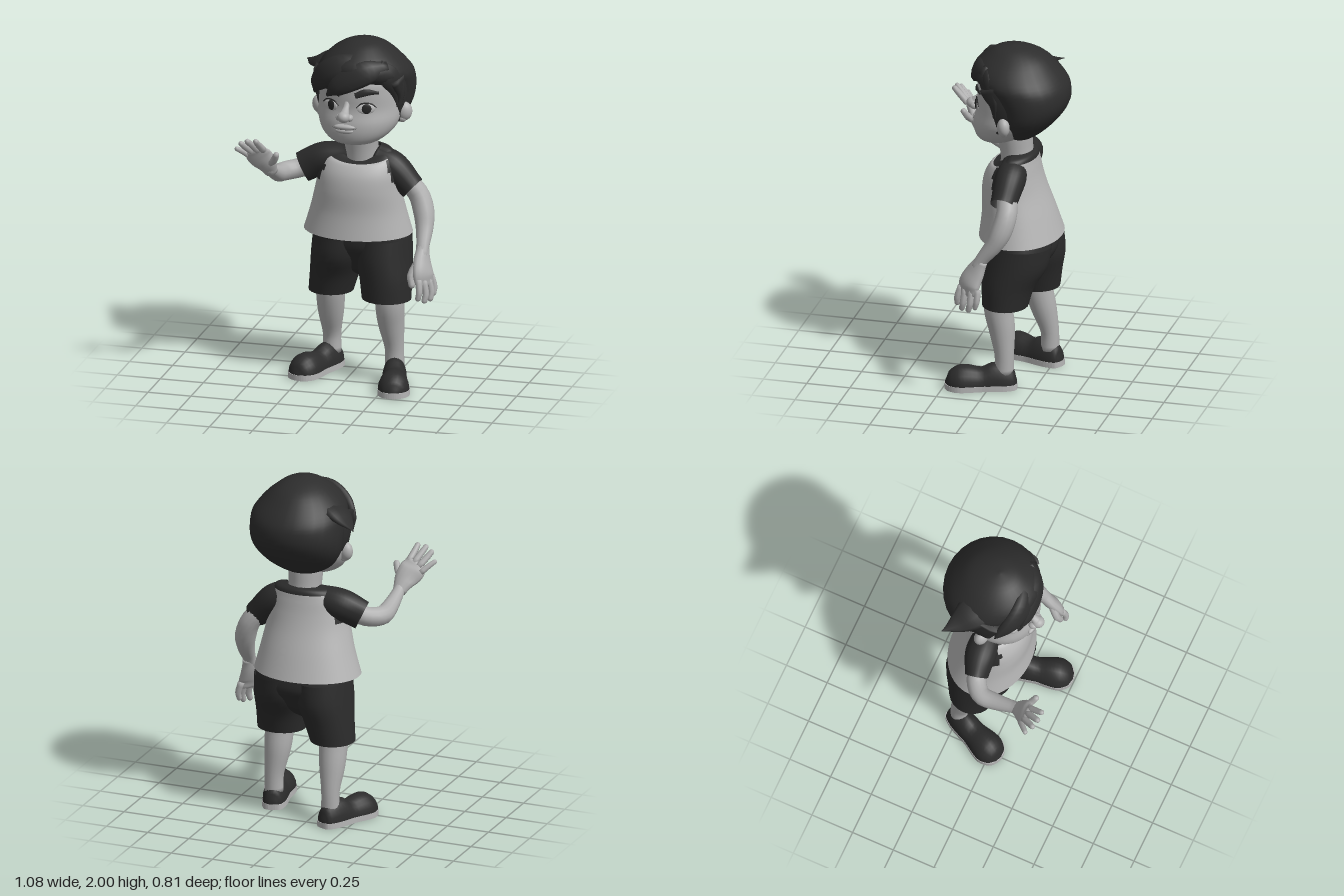
import * as THREE from 'three';

const mat = (name, color, side = THREE.FrontSide) => {
  const m = new THREE.MeshStandardMaterial({ color, side });
  m.name = name;
  return m;
};
const V = (x, y, z) => new THREE.Vector3(x, y, z);

// Catmull-Rom interpolation of a list of equal-length number rows
function blend(rows, u) {
  const s = u * (rows.length - 1), i = Math.min(Math.floor(s), rows.length - 2), f = s - i;
  const at = k => rows[Math.max(0, Math.min(rows.length - 1, k))];
  const [a, b, c, d] = [at(i - 1), at(i), at(i + 1), at(i + 2)];
  return b.map((p, k) => {
    const m0 = (c[k] - a[k]) / 2, m1 = (d[k] - p) / 2, q = c[k] - p;
    return p + f * (m0 + f * (3 * q - 2 * m0 - m1 + f * (m0 + m1 - 2 * q)));
  });
}

// Skins closed rings of points; pick(centre, v) chooses the second material
function skin(name, rows, material, { capA, capB, pick }) {
  const n = rows[0].length, pts = rows.flat(), lists = [[], []];
  for (let i = 0; i < rows.length - 1; i++) for (let j = 0; j < n; j++) {
    const a = i * n + j, b = i * n + (j + 1) % n, c = b + n, d = a + n;
    const mid = pts[a].clone().add(pts[c]).multiplyScalar(0.5);
    lists[pick && pick(mid, (i + 0.5) / (rows.length - 1)) ? 1 : 0].push(a, b, c, a, c, d);
  }
  const cap = (start, flip) => {
    const mid = V(0, 0, 0), k = pts.length;
    for (let j = 0; j < n; j++) {
      const a = start + j, b = start + (j + 1) % n;
      mid.addScaledVector(pts[a], 1 / n);
      lists[0].push(k, flip ? b : a, flip ? a : b);
    }
    pts.push(mid);
  };
  if (capA) cap(0, true);
  if (capB) cap((rows.length - 1) * n, false);
  const g = new THREE.BufferGeometry().setFromPoints(pts);
  g.setIndex(lists.flat());
  if (pick) {
    g.addGroup(0, lists[0].length, 0);
    g.addGroup(lists[0].length, lists[1].length, 1);
  }
  g.computeVertexNormals();
  const mesh = new THREE.Mesh(g, material);
  mesh.name = name;
  return mesh;
}

// Upright loft; rings are [y, cx, cz, rx, rz, front dip], from bottom to top
function loft(name, rings, material, opt = {}) {
  const { n = 32, steps = 28 } = opt, rows = [];
  for (let i = 0; i <= steps; i++) {
    const [y, cx, cz, rx, rz, dip = 0] = blend(rings, i / steps);
    rows.push(Array.from({ length: n }, (_, j) => {
      const a = j / n * Math.PI * 2, s = -Math.sin(a);
      return V(cx + rx * Math.cos(a), y - dip * Math.max(0, s), cz + rz * s);
    }));
  }
  return skin(name, rows, material, opt);
}

// Limb along points [x, y, z, thickness, width]; thickness follows the up vector
function limb(name, points, material, opt = {}) {
  const { up = V(0, 0, 1), n = 14, steps = 16, round = false } = opt;
  const curve = new THREE.CatmullRomCurve3(points.map(p => V(p[0], p[1], p[2])));
  const radii = points.map(p => [p[3], p[4] ?? p[3]]), rows = [];
  const ring = (c, t, r, w) => {
    const b = up.clone().cross(t).normalize(), m = t.clone().cross(b);
    rows.push(Array.from({ length: n }, (_, j) => {
      const a = j / n * Math.PI * 2;
      return c.clone().addScaledVector(b, w * Math.cos(a)).addScaledVector(m, r * Math.sin(a));
    }));
  };
  for (let i = 0; i <= steps; i++) {
    const [r, w] = blend(radii, i / steps).map(v => Math.max(v, 0.001));
    ring(curve.getPoint(i / steps), curve.getTangent(i / steps), r, w);
  }
  if (round) {
    const [r, w] = radii[radii.length - 1], t = curve.getTangent(1), e = curve.getPoint(1);
    for (const a of [0.5, 1, 1.4])
      ring(e.clone().addScaledVector(t, Math.min(r, w) * Math.sin(a)), t, r * Math.cos(a), w * Math.cos(a));
  }
  return skin(name, rows, material, { capA: true, capB: true, ...opt });
}

function ball(name, material, p, s, ry = 0) {
  const m = new THREE.Mesh(new THREE.SphereGeometry(1, 20, 14), material);
  m.name = name;
  m.position.set(...p);
  m.scale.set(...s);
  m.rotation.y = ry;
  return m;
}

export function createModel() {
  const skinM = mat('skin', 0xafafaf), shirtM = mat('shirt cloth', 0xb4b4b4, THREE.DoubleSide);
  const trimM = mat('dark cloth', 0x2b2b2b, THREE.DoubleSide), hairM = mat('hair', 0x2d2d2d);
  const shoeM = mat('shoe', 0x2c2c2c), soleM = mat('sole', 0xb6b6b6);
  const whiteM = mat('eye white', 0xbababa), irisM = mat('iris', 0x262626), lipM = mat('lip line', 0x6a6a6a);
  const root = new THREE.Group(), add = (...m) => root.add(...m);
  root.name = 'boy';
  // Head, neck and ears
  const head = [[1.41, .065, .01, .02, .02], [1.43, .06, .01, .12, .1], [1.48, .065, -.02, .192, .158], [1.55, .07, -.06, .233, .2],
    [1.63, .07, -.09, .24, .21], [1.72, .07, -.1, .235, .22], [1.8, .07, -.11, .22, .22], [1.9, .07, -.11, .15, .14]];
  add(loft('head', head, skinM, { capA: true, capB: true }));
  add(limb('neck', [[.07, 1.27, -.11, .095], [.07, 1.36, -.1, .093], [.07, 1.47, -.09, .1]], skinM, { n: 20 }));
  for (const [s, x] of [[-1, -.172], [1, .322]])
    add(ball('ear', skinM, [x, 1.588, -.09], [.044, .054, .036], s * .4),
      ball('earLobe', skinM, [x - s * .012, 1.55, -.085], [.028, .026, .026]));
  const faceZ = (x, y) => {
    const i = head.findIndex(r => r[0] > y), a = head[i - 1], b = head[i], f = (y - a[0]) / (b[0] - a[0]);
    const [, cx, cz, rx, rz] = a.map((v, k) => v + (b[k] - v) * f);
    return cz + rz * Math.sqrt(Math.max(0, 1 - ((x - cx) / rx) ** 2));
  };
  const onFace = (pts, lift) => pts.map(([x, y, r, w]) => [x, y, faceZ(x, y) + lift, r, w]);
  // Eyes, lids and brows
  for (const [s, x, ry] of [[-1, -.055, -.5], [1, .155, .36]]) {
    const z = faceZ(x, 1.648);
    add(ball('eyeWhite', whiteM, [x, 1.645, z], [.05, .029, .008], ry));
    add(ball('iris', irisM, [x + .004, 1.648, z + .006], [.027, .029, .007], ry));
    add(limb('upperLid', onFace([[x - .054, 1.652, .002], [x - .025, 1.677, .004], [x + .025, 1.677, .004],
      [x + .054, 1.652, .002]], .004), irisM, { n: 8 }));
    add(limb('brow', onFace([[x - s * .06, 1.722, .004, .016], [x, 1.742, .008, .02],
      [x + s * .065, 1.735, .004, .008]], .006), hairM, { n: 8 }));
  }
  // Nose and mouth
  add(limb('noseBridge', [[.046, 1.68, .106, .012, .016], [.043, 1.645, .128, .016, .019], [.04, 1.61, .158, .028, .03]], skinM));
  add(ball('noseTip', skinM, [.04, 1.605, .163], [.036, .032, .037]));
  for (const s of [-1, 1]) add(ball('nostril', skinM, [.04 + s * .03, 1.597, .145], [.02, .02, .025]));
  add(ball('upperLip', skinM, [.038, 1.539, .136], [.062, .016, .021]), ball('lowerLip', skinM, [.038, 1.516, .133], [.055, .017, .022]));
  add(limb('mouth', [[-.035, 1.535, .135, .0015], [0, 1.529, .149, .0025], [.038, 1.529, .154, .0025],
    [.075, 1.529, .15, .0025], [.11, 1.536, .138, .0015]], lipM, { n: 8 }));
  // Hair: main volume, sideburns, fringe locks and side flick
  add(loft('hair', [[1.44, .075, -.13, .04, .03], [1.465, .075, -.135, .115, .075], [1.52, .075, -.16, .195, .122],
    [1.6, .08, -.18, .252, .177], [1.68, .083, -.19, .27, .213], [1.76, .086, -.165, .273, .243], [1.82, .085, -.126, .266, .257],
    [1.885, .08, -.1, .222, .232], [1.945, .08, -.1, .155, .168], [1.985, .085, -.09, .085, .09], [2, .085, -.09, .01, .01]],
    hairM, { n: 28, steps: 30, capA: true, capB: true }));
  const lock = (name, up, pts) => add(limb(name, pts, hairM, { up: V(...up), n: 10 }));
  for (const [s, x] of [[-1, -.15], [1, .295]])
    lock('sideburn', [s, 0, 0], [[x, 1.82, -.06, .04, .12], [x + s * .012, 1.72, -.09, .03, .09],
      [x + s * .008, 1.63, -.085, .022, .062], [x, 1.535, -.055, .006, .016]]);
  lock('fringeFront', [0, .3, 1], [[.25, 1.87, .02, .03, .04], [.16, 1.86, .095, .035, .07], [.06, 1.82, .122, .03, .075],
    [-.02, 1.76, .122, .024, .052], [-.075, 1.705, .105, .004, .008]]);
  lock('fringeSide', [-.4, .3, 1], [[.13, 1.91, .05, .03, .05], [0, 1.87, .085, .04, .08], [-.1, 1.81, .065, .035, .075],
    [-.155, 1.745, .025, .022, .05], [-.175, 1.685, 0, .004, .01]]);
  lock('fringeTemple', [.6, .2, .8], [[.2, 1.88, .05, .03, .05], [.265, 1.82, .02, .03, .065], [.298, 1.73, -.02, .022, .052],
    [.305, 1.63, -.035, .006, .02]]);
  lock('sideFlick', [-.2, 1, .2], [[-.07, 1.85, -.12, .05, .11], [-.155, 1.83, -.165, .038, .095], [-.225, 1.802, -.215, .02, .055],
    [-.296, 1.786, -.275, .002, .003]]);
  // Shirt body with dark shoulders and collar, then sleeves
  add(loft('shirt', [[.862, .045, -.122, .31, .234, 0], [1, .05, -.108, .272, .203, 0], [1.13, .055, -.085, .243, .18, 0],
    [1.22, .06, -.08, .228, .16, 0], [1.3, .065, -.09, .205, .135, .02], [1.352, .07, -.1, .17, .115, .062],
    [1.37, .07, -.1, .11, .09, .075]], [shirtM, trimM], { n: 56, steps: 42,
    pick: (p, v) => v > .76 || (p.y > 1.17 && Math.abs(p.x - .068) > .17 + (1.3 - p.y) * .3) }));
  const sleeve = (name, pts) => add(limb(name, pts, trimM, { capB: false, n: 20 }));
  sleeve('leftSleeve', [[.14, 1.295, -.11, .075], [.245, 1.25, -.11, .088], [.367, 1.135, -.1, .073]]);
  sleeve('rightSleeve', [[0, 1.295, -.11, .075], [-.15, 1.268, -.1, .09], [-.265, 1.212, -.075, .066, .088]]);
  // Arms
  add(limb('leftArm', [[.3, 1.2, -.105, .055], [.39, 1.1, -.128, .059], [.43, 1, -.105, .06], [.445, .92, -.065, .05],
    [.453, .84, -.005, .038], [.455, .79, .025, .036]], skinM, { round: true }));
  add(limb('rightArm', [[-.18, 1.24, -.09, .055], [-.29, 1.205, -.065, .055], [-.355, 1.2, -.005, .054],
    [-.362, 1.215, .08, .048], [-.365, 1.262, .19, .036], [-.366, 1.285, .23, .034]], skinM, { up: V(0, 1, 0), round: true }));
  // Hands
  const finger = (name, r, ...p) => add(limb(name, p.map((q, i) => [...q, r * (1 - .1 * i)]), skinM,
    { n: 8, steps: 6, round: true, up: V(.3, .1, 1) }));
  add(limb('leftPalm', [[.455, .83, 0, .034, .038], [.46, .76, .035, .036, .06], [.475, .69, .065, .034, .074],
    [.485, .64, .07, .022, .066]], skinM, { up: V(.85, 0, .5), round: true }));
  finger('leftFinger', .019, [.505, .67, .01], [.524, .605, .01], [.522, .57, .02]);
  finger('leftFinger', .021, [.497, .66, .045], [.517, .59, .05], [.514, .55, .06]);
  finger('leftFinger', .021, [.48, .66, .085], [.498, .585, .095], [.492, .548, .103]);
  finger('leftFinger', .02, [.46, .67, .115], [.472, .605, .135], [.465, .568, .138]);
  finger('leftThumb', .024, [.445, .76, .06], [.415, .69, .105], [.425, .64, .122]);
  add(limb('rightPalm', [[-.364, 1.265, .215, .032, .038], [-.385, 1.33, .26, .032, .064],
    [-.415, 1.38, .29, .025, .074], [-.428, 1.41, .308, .018, .064]], skinM, { round: true }));
  finger('rightFinger', .018, [-.465, 1.37, .288], [-.502, 1.405, .32], [-.527, 1.425, .343]);
  finger('rightFinger', .02, [-.448, 1.4, .3], [-.48, 1.445, .35], [-.495, 1.468, .373]);
  finger('rightFinger', .02, [-.417, 1.415, .308], [-.443, 1.465, .36], [-.455, 1.488, .386]);
  finger('rightFinger', .02, [-.385, 1.42, .308], [-.4, 1.47, .365], [-.405, 1.492, .388]);
  finger('rightThumb', .023, [-.375, 1.32, .25], [-.328, 1.36, .29], [-.31, 1.397, .31]);
  // Shorts and legs
  add(loft('shortsHips', [[.6, .06, -.14, .03, .04], [.64, .06, -.14, .11, .09], [.72, .065, -.145, .24, .145],
    [.8, .067, -.145, .275, .185], [.92, .06, -.13, .25, .18]], trimM, { capA: true, capB: true }));
  const shortsLeg = (name, rings) => add(loft(name, rings, trimM, { n: 24, steps: 10 }));
  shortsLeg('leftShortsLeg', [[.485, .222, -.075, .14, .13], [.6, .213, -.09, .147, .15], [.72, .195, -.125, .158, .185], [.84, .185, -.14, .16, .19]]);
  shortsLeg('rightShortsLeg', [[.482, -.125, -.165, .127, .13], [.6, -.1, -.16, .141, .155], [.72, -.07, -.145, .158, .195], [.84, -.055, -.14, .16, .195]]);
  const leg = (name, pts) => add(limb(name, pts, skinM, { n: 18 }));
  leg('leftLeg', [[.245, .6, -.06, .085], [.25, .48, -.042, .083], [.252, .35, -.062, .075], [.266, .2, -.08, .055], [.268, .09, -.08, .054]]);
  leg('rightLeg', [[-.125, .6, -.15, .085], [-.13, .47, -.168, .082], [-.136, .34, -.2, .073], [-.14, .2, -.234, .052], [-.14, .09, -.235, .052]]);
  // Shoes: rounded upper flattened at the bottom, on a light sole slab
  const form = [[-.2, .02, .02], [-.185, .08, .047], [-.13, .118, .065], [-.06, .12, .07], [0, .092, .072],
    [.07, .104, .085], [.13, .1, .087], [.18, .064, .06], [.2, .012, .02]];
  const edge = s => form.map(([l, , w]) => new THREE.Vector2(s * (w + .002), -l * 1.01));
  const outline = new THREE.SplineCurve([...edge(1), ...edge(-1).reverse(), edge(1)[0]]).getPoints(60);
  for (const [name, x, z, ry] of [['leftShoe', .3, .045, .25], ['rightShoe', -.195, -.12, -.4]]) {
    const shoe = new THREE.Group();
    shoe.name = name;
    const upper = limb('shoeUpper', form.map(([l, h, w]) => [0, .03, l, h, w]), shoeM, { up: V(0, 1, 0), n: 20, steps: 24 });
    const pos = upper.geometry.attributes.position;
    for (let i = 0; i < pos.count; i++) pos.setY(i, Math.max(.025, pos.getY(i)));
    upper.geometry.computeVertexNormals();
    const sole = new THREE.Mesh(new THREE.ExtrudeGeometry(new THREE.Shape(outline), { depth: .032, bevelEnabled: false }), soleM);
    sole.name = 'shoeSole';
    sole.rotation.x = -Math.PI / 2;
    shoe.add(upper, sole);
    shoe.position.set(x, 0, z);
    shoe.rotation.y = ry;
    add(shoe);
  }
  return root;
}
